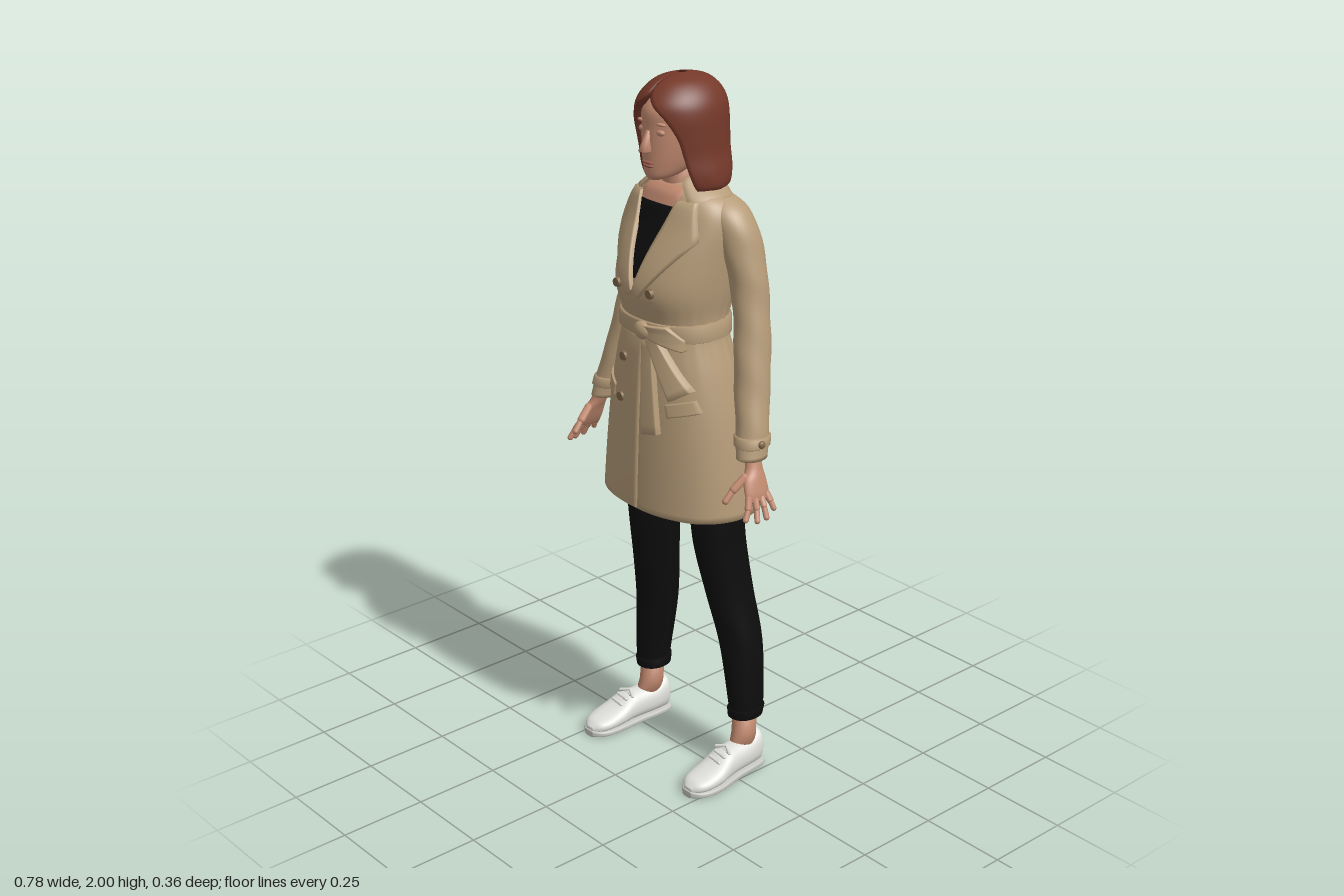
import * as THREE from 'three';

const mat = (name, color) => Object.assign(new THREE.MeshStandardMaterial({ color, side: THREE.DoubleSide }), { name });

// Rows are [y, centreX, radiusX, zFront, zBack, gap], listed from bottom to top.
// Smooth interpolation of a short table of rows.
function dense(rows, steps = 5) {
  const out = [], at = i => rows[Math.max(0, Math.min(rows.length - 1, i))];
  for (let i = 0; i < rows.length - 1; i++) for (let k = 0; k < steps; k++) {
    const t = k / steps, a = at(i - 1), b = at(i), c = at(i + 1), d = at(i + 2);
    out.push(b.map((_, q) => 0.5 * (2 * b[q] + (c[q] - a[q]) * t + (2 * a[q] - 5 * b[q] + 4 * c[q] - d[q]) * t * t
      + (3 * b[q] - a[q] - 3 * c[q] + d[q]) * t * t * t)));
  }
  out.push(rows[rows.length - 1]);
  return out;
}

function rowAt(rows, y) {
  let i = 0;
  while (i < rows.length - 2 && rows[i + 1][0] < y) i++;
  const a = rows[i], b = rows[i + 1], t = Math.max(0, Math.min(1, (y - a[0]) / (b[0] - a[0])));
  return a.map((v, q) => v + (b[q] - v) * t);
}

// Closed loft through horizontal rings; "inner" makes a thick C-shaped shell open at the front.
function loft(rows, { n = 32, e = 1, inner = 0, ripple = null } = {}) {
  const pos = [], idx = [], h = n / 2;
  const pw = v => Math.sign(v) * Math.abs(v) ** e;
  for (const [y, cx, rx, zf, zb, gap = 0] of rows) for (let j = 0; j < n; j++) {
    let th = (j + 0.5) / n * Math.PI * 2, k = 1;
    if (inner) {
      const m = j < h ? j : n - 1 - j;
      th = gap + (m / (h - 1)) * (2 * Math.PI - 2 * gap);
      if (j >= h) k = inner;
    }
    if (ripple) k *= 1 + ripple(y, th);
    pos.push(cx + rx * k * pw(Math.sin(th)), y, (zf + zb) / 2 + (zf - zb) / 2 * k * pw(Math.cos(th)));
  }
  for (let i = 0; i < rows.length - 1; i++) for (let j = 0; j < n; j++) {
    const a = i * n + j, b = i * n + (j + 1) % n;
    idx.push(a, b, b + n, a, b + n, a + n);
  }
  const top = (rows.length - 1) * n;
  for (let j = 0; j < h - 1; j++) {
    const q = [j, j + 1, n - 2 - j, n - 1 - j];
    idx.push(q[0], q[2], q[1], q[0], q[3], q[2]);
    idx.push(top + q[0], top + q[1], top + q[2], top + q[0], top + q[2], top + q[3]);
  }
  return finish(pos, idx);
}

function finish(pos, idx) {
  const g = new THREE.BufferGeometry();
  g.setAttribute('position', new THREE.Float32BufferAttribute(pos, 3));
  g.setIndex(idx);
  g.computeVertexNormals();
  return g;
}

// A band that hugs a lofted form between two heights.
function band(rows, y0, y1, off, opts) {
  const r = [[y0, 0], [y0 + 0.004, off], [y1 - 0.004, off], [y1, 0]].map(([y, o]) => {
    const [, cx, rx, zf, zb] = rowAt(rows, y);
    return [y, cx, rx + o, zf + o, zb - o];
  });
  return loft(r, opts);
}

const E = 0.9;
const torso = dense([
  [0.82, 0, 0.25, 0.17, -0.175], [0.95, 0, 0.235, 0.165, -0.16], [1.1, 0, 0.212, 0.158, -0.138],
  [1.22, 0, 0.185, 0.15, -0.12], [1.34, 0, 0.152, 0.143, -0.1], [1.44, 0, 0.165, 0.168, -0.14],
  [1.53, 0, 0.175, 0.145, -0.15], [1.62, 0, 0.18, 0.1, -0.133], [1.67, 0, 0.163, 0.08, -0.115],
  [1.7, 0, 0.125, 0.066, -0.1], [1.72, 0, 0.07, 0.04, -0.085]]);

// Front depth of the coat at a point.
function surf(x, y) {
  const [, , rx, zf, zb] = rowAt(torso, y);
  const s = Math.min(1, Math.abs(x) / rx) ** (1 / E);
  return (zf + zb) / 2 + (zf - zb) / 2 * Math.sqrt(1 - s * s) ** E;
}

// Thin cloth panel lying on the coat front between two edge polylines.
function patch(A, B, off, n = 10) {
  const along = (P, t) => {
    const f = t * (P.length - 1), i = Math.min(P.length - 2, Math.floor(f));
    return P[i].map((v, q) => v + (P[i + 1][q] - v) * (f - i));
  };
  const pos = [], idx = [], w = n + 3;
  const flip = (B[0][0] - A[0][0]) * (A[A.length - 1][1] - A[0][1]) - (B[0][1] - A[0][1]) * (A[A.length - 1][0] - A[0][0]) < 0;
  for (let i = 0; i < w; i++) for (let j = 0; j < w; j++) {
    const t = Math.max(0, Math.min(1, (i - 1) / n)), u = Math.max(0, Math.min(1, (j - 1) / n));
    const a = along(A, t), b = along(B, t), x = a[0] + (b[0] - a[0]) * u, y = a[1] + (b[1] - a[1]) * u;
    const rim = i === 0 || j === 0 || i === w - 1 || j === w - 1;
    pos.push(x, y, surf(x, y) + (rim ? -0.003 : off));
    if (i < w - 1 && j < w - 1) {
      const p = i * w + j;
      flip ? idx.push(p, p + w, p + 1, p + 1, p + w, p + w + 1) : idx.push(p, p + 1, p + w, p + 1, p + w + 1, p + w);
    }
  }
  return finish(pos, idx);
}

export function createModel() {
  const root = new THREE.Group();
  const coat = mat('coat cloth', 0xb59b78), hairM = mat('hair', 0x75392a), skin = mat('skin', 0xc28a70),
    black = mat('black cloth', 0x0d0d0d), white = mat('shoe white', 0xe0e0dc), sole = mat('sole grey', 0xc4c4c0),
    button = mat('button brown', 0x806648), lip = mat('lip', 0x9d5b4d);
  const add = (name, geo, m) => {
    const mesh = new THREE.Mesh(geo, m);
    mesh.name = name;
    root.add(mesh);
    return mesh;
  };
  const blob = (name, m, p, s) => {
    const b = add(name, new THREE.SphereGeometry(1, 16, 12), m);
    b.position.set(...p);
    b.scale.set(...s);
  };
  const rod = (name, m, a, b, r) => {
    const A = new THREE.Vector3(...a), d = new THREE.Vector3(...b).sub(A);
    const c = add(name, new THREE.CapsuleGeometry(r, Math.max(0.001, d.length() - r), 4, 8), m);
    c.position.copy(A).addScaledVector(d, 0.5);
    c.quaternion.setFromUnitVectors(new THREE.Vector3(0, 1, 0), d.normalize());
  };

  // Coat body with gathers at the back of the waist and an inner hem
  const gather = (y, th) => 0.022 * Math.exp(-(((y - 1.33) / 0.1) ** 2)) * Math.sin(24 * th) * (1 - Math.cos(th)) / 2
    + 0.008 * Math.max(0, 1.2 - y) * Math.sin(9 * th);
  const lining = [[1.0, 0, 0.2, 0.13, -0.12], [0.825, 0, 0.24, 0.16, -0.165]];
  add('coatBody', loft([...lining, ...torso], { n: 96, e: E, ripple: gather }), coat);
  add('frontOverlap', patch([[-0.1, 1.31], [-0.1, 0.825]], [[0.01, 1.31], [0.012, 0.825]], 0.005), coat);
  add('belt', band(torso, 1.312, 1.362, 0.009, { n: 64, e: E }), coat);
  blob('beltKnot', coat, [0.022, 1.337, 0.155], [0.03, 0.025, 0.017]);
  add('bowLoop', patch([[0.03, 1.355], [0.1, 1.36], [0.135, 1.325]], [[0.03, 1.325], [0.1, 1.305], [0.135, 1.295]], 0.022), coat);
  add('beltTail', patch([[0.02, 1.32], [0.035, 1.05]], [[0.05, 1.32], [0.09, 1.06]], 0.016), coat);
  add('beltTail', patch([[0.03, 1.33], [0.12, 1.16]], [[0.06, 1.335], [0.165, 1.19]], 0.02), coat);

  // Neck opening, lapels and collar
  add('blackTop', patch([[-0.075, 1.668], [-0.04, 1.6], [0, 1.48]], [[0.07, 1.668], [0.045, 1.6], [0.015, 1.48]], 0.005), black);
  add('upperChest', patch([[-0.07, 1.715], [-0.075, 1.665]], [[0.07, 1.715], [0.07, 1.665]], 0.004), skin);
  for (const s of [-1, 1]) {
    add('lapel', patch([[s * 0.07, 1.685], [s * 0.045, 1.6], [s * 0.002 + 0.006, 1.45]],
      [[s * 0.12, 1.685], [s * 0.148, 1.59], [s * 0.02 + 0.006, 1.43]], 0.013), coat);
    add('pocketFlap', patch([[s * 0.17, 1.165], [s * 0.185, 1.13]], [[s * 0.1, 1.145], [s * 0.11, 1.11]], 0.007), coat);
  }
  add('collar', loft(dense([[1.66, 0, 0.15, 0.098, -0.128, 0.75], [1.69, 0, 0.14, 0.088, -0.116, 0.72],
    [1.72, 0, 0.1, 0.072, -0.105, 0.7], [1.737, 0, 0.08, 0.055, -0.09, 0.75]]), { n: 64, inner: 0.88 }), coat);
  for (const [x, y] of [[-0.068, 1.45], [0.064, 1.45], [-0.062, 1.24], [-0.066, 1.125]]) {
    const b = add('button', new THREE.CylinderGeometry(0.012, 0.014, 0.01, 16).rotateX(Math.PI / 2), button);
    b.position.set(x, y, surf(x, y) + 0.008);
  }

  // Head, neck and face
  add('neck', loft([[1.6, 0, 0.06, 0.04, -0.07], [1.7, 0, 0.052, 0.05, -0.06], [1.8, 0, 0.05, 0.055, -0.06]]), skin);
  add('head', loft(dense([[1.733, 0, 0.018, 0.105, 0.06], [1.745, 0, 0.042, 0.113, 0.01], [1.775, 0, 0.062, 0.116, -0.05],
    [1.82, 0, 0.076, 0.116, -0.08], [1.87, 0, 0.082, 0.114, -0.09], [1.92, 0, 0.08, 0.108, -0.09], [1.965, 0, 0.05, 0.06, -0.06]])), skin);
  add('nose', loft([[1.806, 0, 0.008, 0.125, 0.1], [1.813, 0, 0.016, 0.142, 0.1], [1.835, 0, 0.011, 0.132, 0.1],
    [1.865, 0, 0.008, 0.119, 0.1]], { n: 16 }), skin);
  blob('upperLip', lip, [0, 1.781, 0.113], [0.022, 0.005, 0.009]);
  blob('lowerLip', lip, [0, 1.772, 0.112], [0.019, 0.006, 0.009]);
  for (const s of [-1, 1]) {
    blob('eyelid', skin, [s * 0.033, 1.862, 0.1], [0.016, 0.009, 0.009]);
    blob('brow', skin, [s * 0.034, 1.884, 0.1], [0.02, 0.005, 0.009]);
  }

  // Shoulder-length hair, open around the face
  add('hair', loft(dense([[1.7, 0.002, 0.105, 0.06, -0.105, 1.05], [1.715, 0.002, 0.122, 0.085, -0.125, 0.98],
    [1.75, 0.003, 0.122, 0.105, -0.136, 0.93], [1.8, 0.002, 0.114, 0.118, -0.136, 0.9], [1.85, 0, 0.114, 0.126, -0.136, 0.82],
    [1.9, 0, 0.112, 0.13, -0.134, 0.58], [1.935, 0, 0.104, 0.124, -0.127, 0.25], [1.965, 0, 0.085, 0.1, -0.108, 0],
    [1.988, 0, 0.055, 0.065, -0.075, 0], [2, 0, 0.012, 0.012, -0.02, 0]]),
  { n: 96, inner: 0.8, ripple: (y, th) => 0.05 * Math.max(0, 1.85 - y) * Math.sin(11 * th + 20 * y) }), hairM);

  for (const s of [-1, 1]) {
    const side = rows => rows.map(([y, x, ...r]) => [y, s * x, ...r]);

    // Sleeve and cuff strap
    const sleeve = dense(side([[1.025, 0.303, 0.037, 0.062, -0.028], [1.1, 0.287, 0.042, 0.048, -0.045], [1.2, 0.262, 0.046, 0.03, -0.068],
      [1.3, 0.243, 0.047, 0.015, -0.088], [1.4, 0.222, 0.048, 0, -0.1], [1.5, 0.2, 0.052, 0, -0.108],
      [1.6, 0.168, 0.058, 0.015, -0.108], [1.66, 0.138, 0.055, 0.015, -0.095], [1.692, 0.11, 0.035, -0.005, -0.07]]));
    add('sleeve', loft(sleeve, { ripple: (y, th) => 0.02 * Math.sin(50 * y + 2 * th) }), coat);
    add('cuffStrap', band(sleeve, 1.055, 1.085, 0.006), coat);
    blob('cuffButton', button, [s * 0.338, 1.07, 0.015], [0.008, 0.011, 0.011]);

    // Hand
    add('palm', loft(dense(side([[0.925, 0.354, 0.01, 0.074, 0.004], [0.945, 0.347, 0.015, 0.079, -0.001], [0.98, 0.334, 0.018, 0.072, 0],
      [1.01, 0.321, 0.02, 0.052, 0.002], [1.06, 0.304, 0.023, 0.042, -0.006]]))), skin);
    for (const [z, tx, ty, tz] of [[0.07, 0.37, 0.885, 0.1], [0.05, 0.384, 0.878, 0.07], [0.03, 0.386, 0.88, 0.038], [0.01, 0.378, 0.895, 0.004]]) {
      const k = [s * (0.35 + tx) / 2 + s * 0.004, (0.935 + ty) / 2, (z + tz) / 2];
      rod('finger', skin, [s * 0.35, 0.94, z], k, 0.0095);
      rod('fingertip', skin, k, [s * tx, ty, tz], 0.008);
    }
    rod('thumb', skin, [s * 0.327, 0.99, 0.06], [s * 0.318, 0.955, 0.1], 0.012);
    rod('thumbTip', skin, [s * 0.318, 0.955, 0.1], [s * 0.315, 0.928, 0.124], 0.009);

    // Trouser leg with rolled cuff
    const leg = dense(side([[0.168, 0.2, 0.04, -0.02, -0.116], [0.23, 0.2, 0.044, -0.012, -0.126], [0.4, 0.18, 0.055, 0, -0.132],
      [0.55, 0.157, 0.055, 0.03, -0.118], [0.7, 0.139, 0.063, 0.058, -0.102], [0.82, 0.132, 0.068, 0.07, -0.094], [1.04, 0.1, 0.085, 0.08, -0.09]]));
    add('trouserLeg', loft(leg), black);
    add('trouserCuff', band(leg, 0.168, 0.2, 0.005), black);
    add('ankle', loft(side([[0.06, 0.207, 0.032, -0.005, -0.1], [0.12, 0.203, 0.03, -0.022, -0.1], [0.2, 0.2, 0.032, -0.03, -0.105]])), skin);

    // Shoe, lofted from heel to toe and laid flat
    const shoe = [[-0.115, 0.203, 0.016, -0.02, -0.075], [-0.105, 0.204, 0.034, -0.01, -0.115], [-0.06, 0.206, 0.04, -0.01, -0.1],
      [-0.01, 0.21, 0.041, -0.01, -0.096], [0.03, 0.214, 0.045, -0.01, -0.092], [0.075, 0.218, 0.05, -0.01, -0.068],
      [0.12, 0.219, 0.048, -0.01, -0.053], [0.15, 0.219, 0.036, -0.01, -0.044], [0.168, 0.219, 0.014, -0.012, -0.03]];
    add('shoe', loft(dense(side(shoe)), { e: 0.85 }).rotateX(Math.PI / 2), white);
    add('shoeSole', loft(dense(side(shoe.map(([z, x, r]) => [z * 1.02, x, r + 0.003, 0, -0.02]))), { e: 0.5 }).rotateX(Math.PI / 2), sole);
    for (const [z, y] of [[0.02, 0.095], [0.04, 0.089], [0.06, 0.079]])
      rod('lace', white, [s * 0.216 - 0.024, y - 0.004, z], [s * 0.216 + 0.024, y - 0.004, z + 0.006], 0.005);
    for (const d of [-1, 1]) rod('laceBow', white, [s * 0.213, 0.1, 0.015], [s * 0.213 + d * 0.03, 0.092, 0.03], 0.005);
  }
  return root;
}
